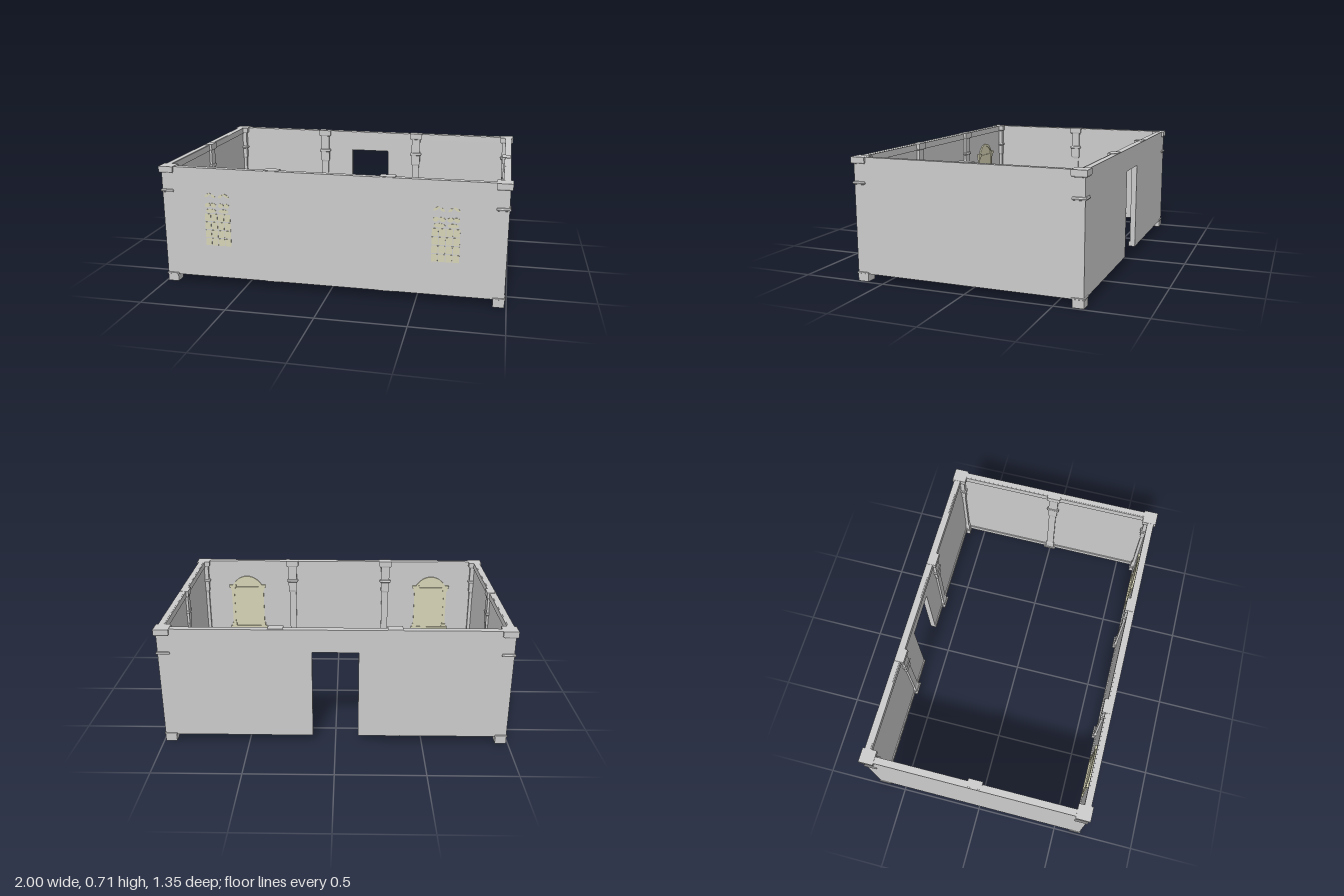
import * as THREE from 'three';

const GREY = new THREE.MeshStandardMaterial({ color: 0xcccccc, flatShading: true });
const PANE = new THREE.MeshStandardMaterial({ color: 0xd6d4b6, flatShading: true });

function add(parent, name, geometry, x = 0, y = 0, z = 0, material = GREY) {
  const mesh = new THREE.Mesh(geometry, material);
  mesh.name = name;
  mesh.position.set(x, y, z);
  parent.add(mesh);
  return mesh;
}

// Box given by its min and max corners
function block(parent, name, [x0, y0, z0], [x1, y1, z1], material = GREY) {
  return add(parent, name, new THREE.BoxGeometry(x1 - x0, y1 - y0, z1 - z0),
    (x0 + x1) / 2, (y0 + y1) / 2, (z0 + z1) / 2, material);
}

// Square moulded post: profile of [half width, height], closed at both ends
function squarePost(profile) {
  const pts = profile.map(([r, y]) => new THREE.Vector2(r * Math.SQRT2, y));
  pts.unshift(new THREE.Vector2(0, pts[0].y));
  pts.push(new THREE.Vector2(0, pts[pts.length - 1].y));
  return new THREE.LatheGeometry(pts, 4, Math.PI / 4).toNonIndexed();
}

const UPPER = [
  [0.029, 0.055], [0.029, 0.1], [0.023, 0.115], [0.023, 0.475], [0.029, 0.49], [0.029, 0.55],
  [0.036, 0.553], [0.039, 0.56], [0.036, 0.568], [0.029, 0.57], [0.029, 0.665],
  [0.038, 0.667], [0.0425, 0.675], [0.0425, 0.705],
];
const CORNER = [[0.032, 0], [0.032, 0.044], [0.036, 0.046], [0.036, 0.053], ...UPPER];
const PILASTER = [[0.04, 0.041], [0.04, 0.055], ...UPPER.slice(0, -1), [0.0425, 0.707]];

const X = 0.988, XI = 0.955, Z = 0.66, ZI = 0.627, Y0 = 0.045, Y1 = 0.704;
const DOOR = 0.13, DOOR_TOP = 0.57, WIN_X = 0.657;

function createWalls(parent) {
  block(parent, 'frontWall', [-X, Y0, ZI], [X, Y1, Z]);
  for (const s of [-1, 1]) {
    add(parent, 'sideWall', new THREE.BoxGeometry(X - XI, Y1 - Y0, 2 * ZI), s * (X + XI) / 2, (Y0 + Y1) / 2, 0);
  }
  // Back wall with an open doorway
  const outline = [[-X, Y0], [-DOOR, Y0], [-DOOR, DOOR_TOP], [DOOR, DOOR_TOP], [DOOR, Y0], [X, Y0], [X, Y1], [-X, Y1]];
  const shape = new THREE.Shape(outline.map(([x, y]) => new THREE.Vector2(x, y)));
  add(parent, 'backWall', new THREE.ExtrudeGeometry(shape, { depth: Z - ZI, bevelEnabled: false }), 0, 0, -Z);

  // Inner skirting and top moulding
  for (const [name, a, b] of [['skirting', Y0, 0.075], ['topMoulding', 0.665, Y1 - 0.001]]) {
    const t = 0.007;
    block(parent, name, [-XI, a, ZI - t], [XI, b, ZI]);
    for (const s of [-1, 1]) {
      add(parent, name, new THREE.BoxGeometry(t, b - a, 2 * ZI), s * (XI - t / 2), (a + b) / 2, 0);
      const gap = name === 'skirting' ? DOOR : 0;
      add(parent, name, new THREE.BoxGeometry(XI - gap, b - a, t), s * (XI + gap) / 2, (a + b) / 2, -ZI + t / 2);
    }
  }
}

function createPosts(parent) {
  const corner = squarePost(CORNER), pilaster = squarePost(PILASTER);
  for (const sx of [-1, 1]) {
    for (const sz of [-1, 1]) {
      add(parent, 'cornerPost', corner, sx * 0.957, 0, sz * 0.63);
      add(parent, 'wallPilaster', pilaster, sx * 0.33, 0, sz * 0.629).scale.z = 0.65;
    }
    add(parent, 'sidePilaster', pilaster, sx * 0.957, 0, 0).scale.x = 0.56;
  }
}

// Arch-topped outline
function archShape(half, bottom, spring, top) {
  const s = new THREE.Shape();
  s.moveTo(-half, bottom);
  s.lineTo(half, bottom);
  s.lineTo(half, spring);
  s.quadraticCurveTo(half * 0.6, top, 0, top);
  s.quadraticCurveTo(-half * 0.6, top, -half, spring);
  return s;
}

function createWindow() {
  const win = new THREE.Group();
  win.name = 'window';

  // Inner pane, arch band, side columns with capitals, and sill
  const extrude = (shape, depth) => new THREE.ExtrudeGeometry(shape, { depth, bevelEnabled: false, curveSegments: 6 });
  add(win, 'innerPane', extrude(archShape(0.1, 0.21, 0.51, 0.575), 0.004), 0, 0, ZI - 0.004, PANE);
  const band = archShape(0.11, 0.51, 0.515, 0.59);
  band.holes.push(new THREE.Path(archShape(0.096, 0.511, 0.513, 0.574).getPoints(6)));
  add(win, 'archBand', extrude(band, 0.009), 0, 0, ZI - 0.009, PANE);
  for (const s of [-1, 1]) {
    const part = (name, w, y0, y1, d) =>
      add(win, name, new THREE.BoxGeometry(w, y1 - y0, d), s * 0.105, (y0 + y1) / 2, ZI - d / 2, PANE);
    part('sideColumn', 0.018, 0.21, 0.5, 0.008);
    part('columnBase', 0.03, 0.21, 0.235, 0.01);
    part('capital', 0.032, 0.485, 0.505, 0.01);
    part('capitalTop', 0.048, 0.505, 0.525, 0.012);
  }
  block(win, 'sill', [-0.132, 0.19, ZI - 0.013], [0.132, 0.212, ZI], PANE);

  // Outer grid of small panes
  const pitchX = 0.0395, pitchY = 0.0495;
  for (let i = 0; i < 4; i++) {
    for (let j = 0; j < 4; j++) {
      add(win, 'smallPane', new THREE.BoxGeometry(0.035, 0.043, 0.004),
        (i - 1.5) * pitchX, 0.264 + j * pitchY, Z, PANE);
    }
  }
  // Tracery openings over the grid: [x, y, width, height, tilt]
  const tracery = [
    [0.038, 0.452, 0.066, 0.024, 0], [0.022, 0.486, 0.036, 0.026, 0.3],
    [0.057, 0.486, 0.036, 0.026, -0.3], [0.022, 0.541, 0.03, 0.016, 0.6], [0.055, 0.546, 0.044, 0.015, -0.55],
  ];
  for (const s of [-1, 1]) {
    for (const [x, y, w, h, tilt] of tracery) {
      const pane = add(win, 'traceryPane', new THREE.CylinderGeometry(0.5, 0.5, 0.004, 8).rotateX(Math.PI / 2),
        s * x, y, Z, PANE);
      pane.scale.set(w, h, 1);
      pane.rotation.z = s * tilt;
    }
  }
  return win;
}

export function createModel() {
  const model = new THREE.Group();
  model.name = 'room';
  createWalls(model);
  createPosts(model);
  for (const s of [-1, 1]) {
    const win = createWindow();
    win.position.x = s * WIN_X;
    model.add(win);
  }
  return model;
}
